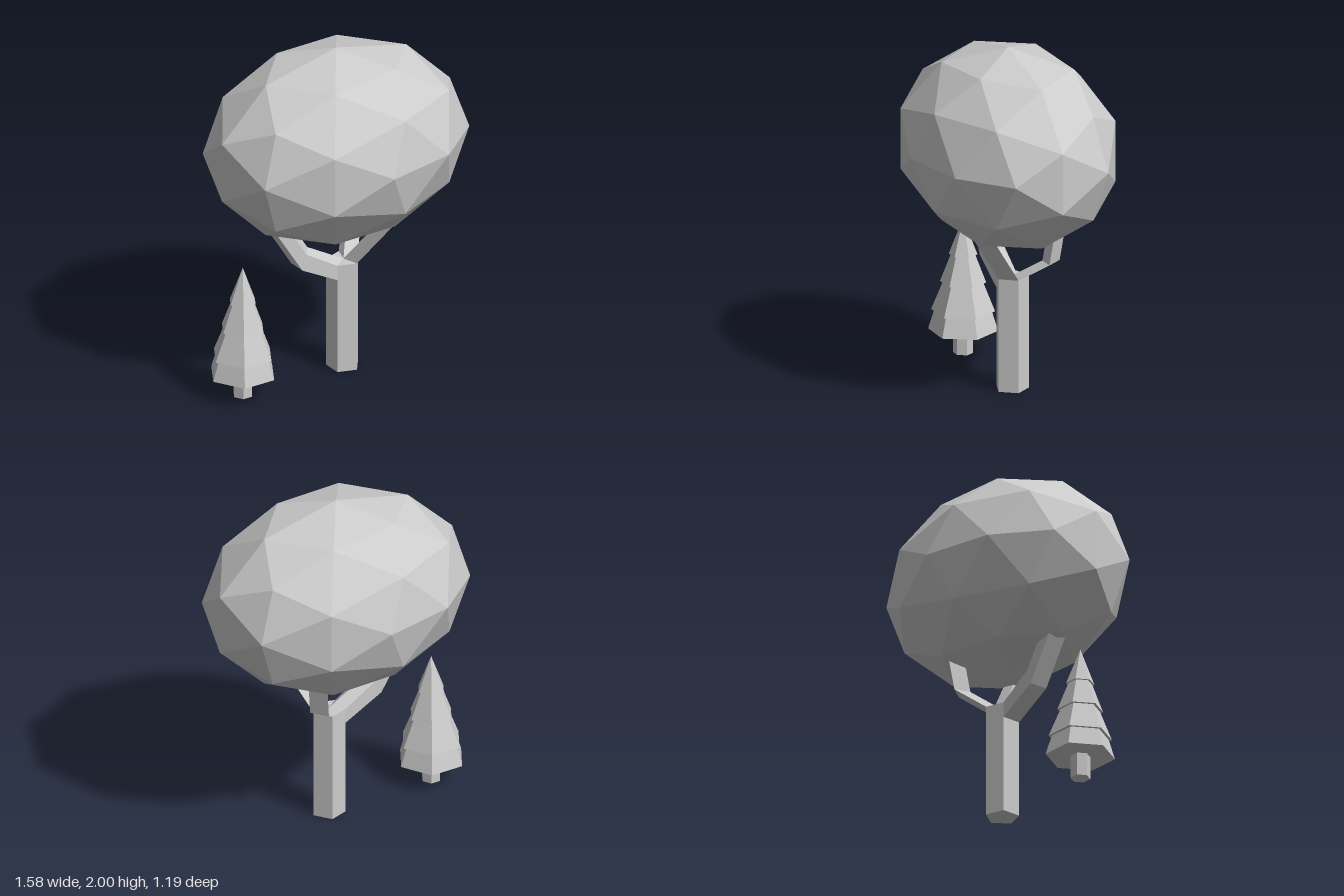
import * as THREE from 'three';

const material = new THREE.MeshStandardMaterial({ color: 0xcccccc, flatShading: true });

function add(parent, name, geometry, x = 0, y = 0, z = 0) {
  const mesh = new THREE.Mesh(geometry, material);
  mesh.name = name;
  mesh.position.set(x, y, z);
  parent.add(mesh);
  return mesh;
}

// Faceted prism or cone with one corner pointing to +x
const prism = (top, bottom, height, sides) =>
  new THREE.CylinderGeometry(top, bottom, height, sides, 1, false, Math.PI / 2);

// Skin through a list of rings, each counterclockwise seen from the tip, with a closed tip
function loft(rings) {
  const out = [];
  const tri = (a, b, c) => out.push(...a, ...b, ...c);
  for (let k = 0; k + 1 < rings.length; k++) {
    const r = rings[k], s = rings[k + 1];
    r.forEach((p, i) => {
      const j = (i + 1) % r.length;
      tri(p, r[j], s[j]);
      tri(p, s[j], s[i]);
    });
  }
  const end = rings[rings.length - 1];
  for (let i = 1; i + 1 < end.length; i++) tri(end[0], end[i], end[i + 1]);
  const geometry = new THREE.BufferGeometry();
  geometry.setAttribute('position', new THREE.Float32BufferAttribute(out, 3));
  geometry.computeVertexNormals();
  return geometry;
}

const shift = (ring, dx, dy, dz) => ring.map(([x, y, z]) => [x + dx, y + dy, z + dz]);

function createBigTree() {
  const tree = new THREE.Group();
  tree.name = 'bigTree';
  const cx = 0.078, R = 0.097, top = 0.665;
  add(tree, 'trunk', prism(R, R, top, 5), cx, top / 2, 0);

  // Side branch: house-shaped section growing from the flat side of the trunk
  const w = R * Math.sin(Math.PI / 5);
  const section = (bx, by, mx, my, rx, ry) =>
    [[bx, by, -w], [bx, by, w], [mx, my, w], [rx, ry, 0], [mx, my, -w]];
  const elbow = section(-0.235, 0.7, -0.205, 0.79, -0.165, 0.805);
  add(tree, 'sideBranch', loft([
    section(0, 0.575, 0, top, cx, top), elbow, shift(elbow, -0.19, 0.3, 0),
  ]));

  // Front and back branches: each grows from one wedge of the trunk top
  const centre = [cx, top, 0], tip = [cx + R, top, 0];
  const corner = (s) => [cx + R * Math.cos(0.4 * Math.PI), top, s * R * Math.sin(0.4 * Math.PI)];
  const front = [centre, corner(1), tip];
  add(tree, 'frontBranch', loft([front, shift(front, 0.14, 0.35, 0.24)]));
  const back = [centre, tip, corner(-1)];
  const bend = shift(back, 0.11, 0.105, -0.14);
  add(tree, 'backBranch', loft([back, bend, shift(bend, 0.03, 0.25, -0.03)]));

  // Crown: faceted ball with a five-sided pole facing front, stretched sideways
  const crown = new THREE.IcosahedronGeometry(1, 1);
  crown.rotateX(Math.atan(2 / (1 + Math.sqrt(5))));
  crown.rotateZ(Math.PI / 2);
  crown.scale(0.802, 0.577, 0.596);
  add(tree, 'crown', crown, 0.028, 1.423, 0);
  return tree;
}

function createSmallTree() {
  const tree = new THREE.Group();
  tree.name = 'smallTree';
  tree.position.x = -0.597;
  add(tree, 'smallTrunk', prism(0.057, 0.057, 0.137, 6), 0, 0.0685, 0);
  // Tiers: bottom height, top height, bottom radius, top radius
  [
    [0.135, 0.25, 0.197, 0.162],
    [0.25, 0.418, 0.18, 0.113],
    [0.418, 0.582, 0.13, 0.068],
    [0.582, 0.795, 0.081, 0],
  ].forEach(([y0, y1, r0, r1], i) =>
    add(tree, `foliageTier${i + 1}`, prism(r1, r0, y1 - y0, 6), 0, (y0 + y1) / 2, 0));
  return tree;
}

export function createModel() {
  const model = new THREE.Group();
  model.name = 'trees';
  model.add(createBigTree(), createSmallTree());
  return model;
}
